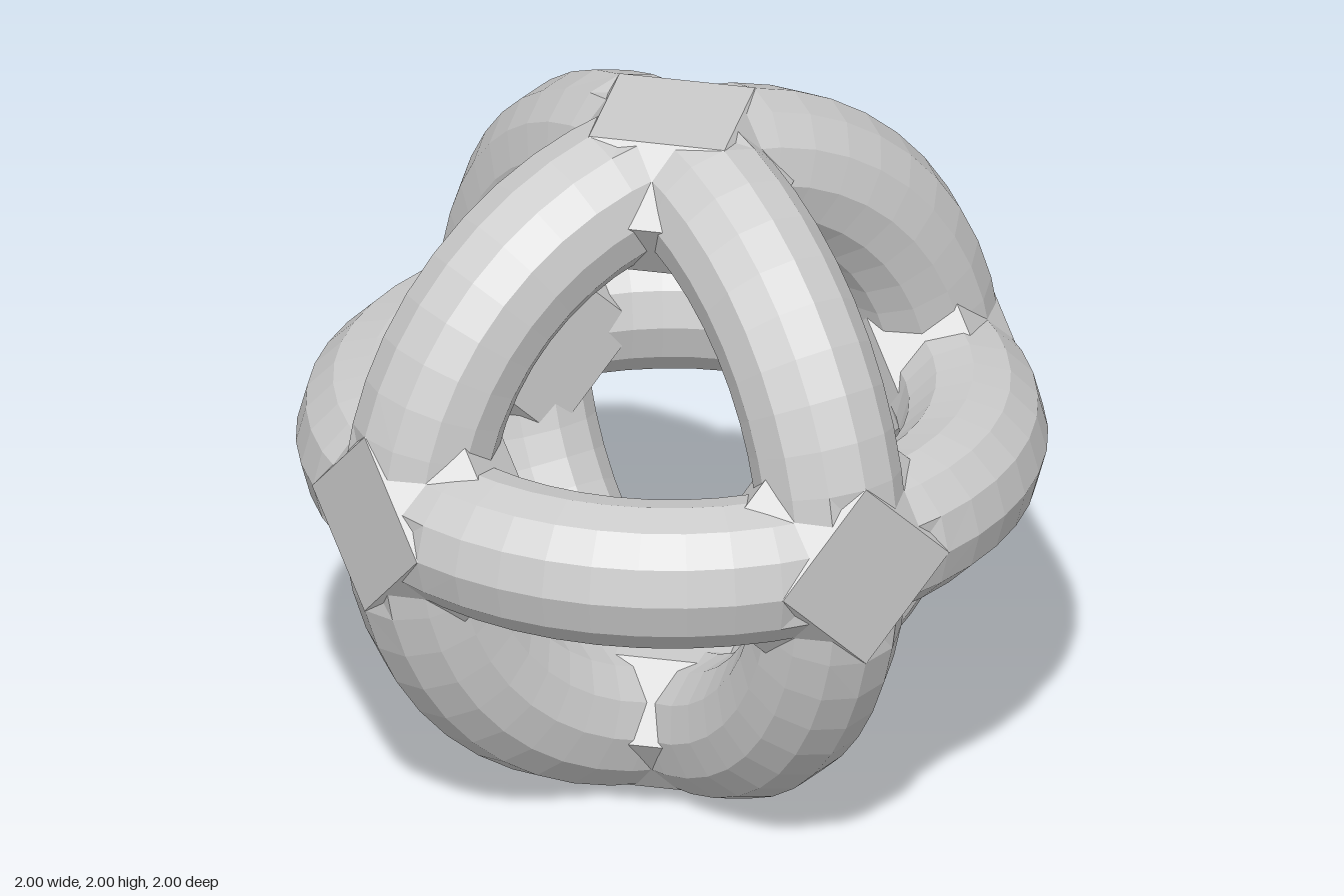
import * as THREE from 'three';

const material = new THREE.MeshStandardMaterial({ color: 0xcccccc, flatShading: true });

// Faceted ring, shaved flat where it passes through the four joints in its plane
function ringGeometry() {
  const geometry = new THREE.TorusGeometry(0.83, 0.205, 12, 48);
  const pos = geometry.attributes.position;
  for (let i = 0; i < pos.count; i++) {
    pos.setX(i, THREE.MathUtils.clamp(pos.getX(i), -0.999, 0.999));
    pos.setY(i, THREE.MathUtils.clamp(pos.getY(i), -0.999, 0.999));
  }
  geometry.computeVertexNormals();
  return geometry;
}

// Truncated octahedral joint along +y, with a flat diamond face on its end
function jointGeometry() {
  const profile = [[0, 0.6], [0.27, 0.6], [0.47, 0.8], [0.27, 1], [0, 1]];
  return new THREE.LatheGeometry(profile.map(([x, y]) => new THREE.Vector2(x, y)), 4);
}

export function createModel() {
  const model = new THREE.Group();
  model.name = 'interlockedRings';
  const quarter = Math.PI / 2;

  // Three mutually perpendicular rings
  const ring = ringGeometry();
  const rings = [
    ['frontRing', 0, 0],
    ['horizontalRing', quarter, 0],
    ['sideRing', 0, quarter],
  ];
  for (const [name, rx, ry] of rings) {
    const mesh = new THREE.Mesh(ring, material);
    mesh.name = name;
    mesh.rotation.set(rx, ry, 0);
    mesh.position.y = 1;
    model.add(mesh);
  }

  // Six joints where the rings cross
  const joint = jointGeometry();
  const joints = [
    ['topJoint', 0, 0],
    ['bottomJoint', Math.PI, 0],
    ['frontJoint', quarter, 0],
    ['backJoint', -quarter, 0],
    ['leftJoint', 0, -quarter],
    ['rightJoint', 0, quarter],
  ];
  for (const [name, rx, rz] of joints) {
    const mesh = new THREE.Mesh(joint, material);
    mesh.name = name;
    mesh.rotation.set(rx, 0, rz);
    mesh.position.y = 1;
    model.add(mesh);
  }
  return model;
}
